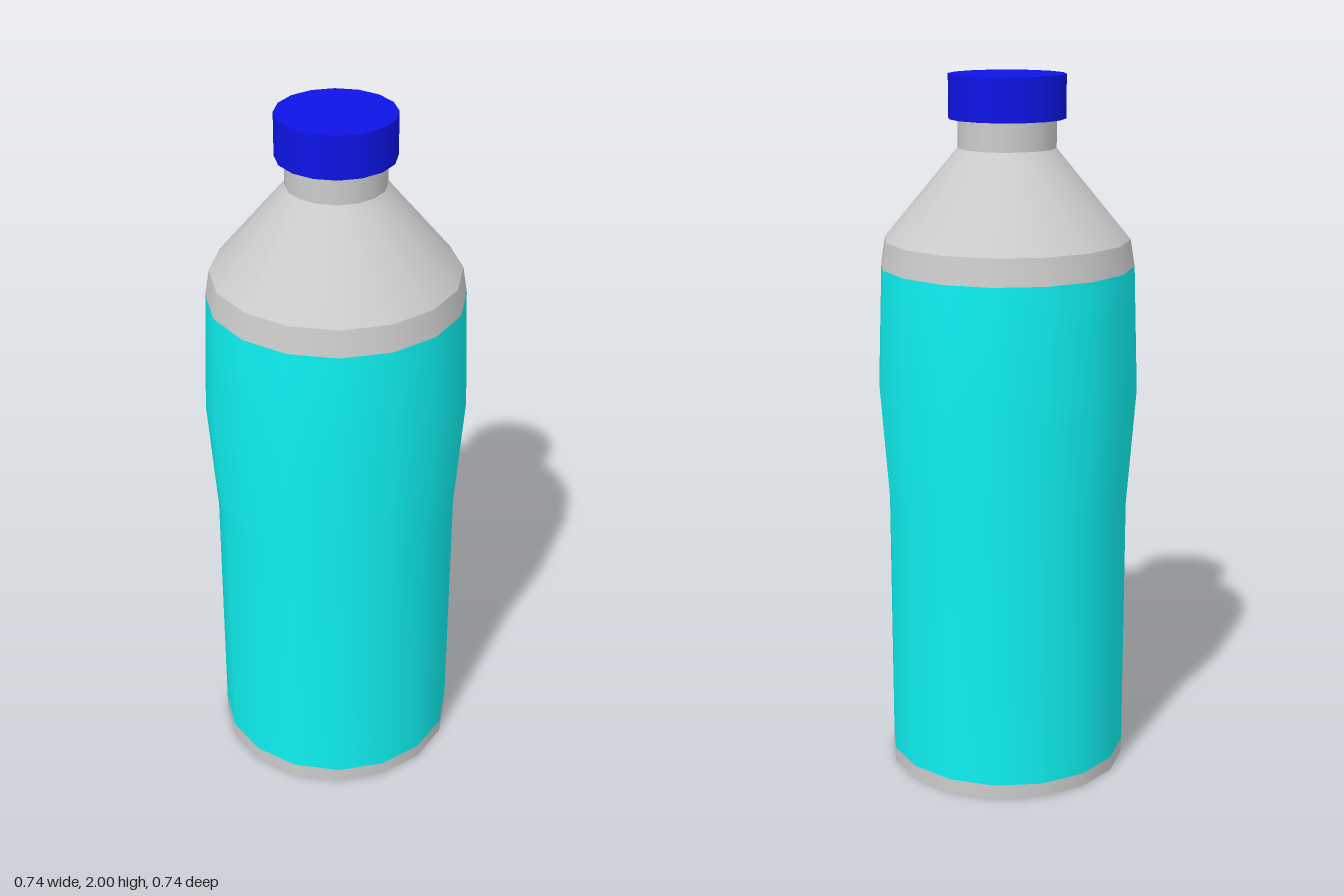
import * as THREE from 'three';
import { mergeGeometries } from 'three/addons/utils/BufferGeometryUtils.js';

const SIDES = 16;

// Each run of [radius, y] points is smooth; a new run starts a sharp edge.
function turned(name, color, ...runs) {
  const parts = runs.map((run) =>
    new THREE.LatheGeometry(run.map(([r, y]) => new THREE.Vector2(r, y)), SIDES));
  const material = new THREE.MeshStandardMaterial({ color });
  const mesh = new THREE.Mesh(mergeGeometries(parts), material);
  mesh.name = name;
  return mesh;
}

export function createModel() {
  const bottle = new THREE.Group();
  bottle.name = 'bottle';
  const grey = 0xcccccc;

  bottle.add(
    // flat bottom and the bare strip below the label
    turned('base', grey,
      [[0, 0], [0.345, 0]],
      [[0.345, 0], [0.345, 0.04]]),
    // coloured wrap, flush with the body and bulging above the middle
    turned('label', 0x0ff0f0,
      [[0.345, 0.04], [0.345, 0.78], [0.37, 1.12], [0.357, 1.475]]),
    // bare strip above the label, then the cone up to the neck
    turned('shoulder', grey,
      [[0.357, 1.475], [0.345, 1.55]],
      [[0.345, 1.55], [0.137, 1.8]]),
    turned('neck', grey, [[0.137, 1.8], [0.137, 1.88]]),
    // closed screw cap overhanging the neck
    turned('cap', 0x0d14e6,
      [[0, 1.88], [0.163, 1.88]],
      [[0.163, 1.88], [0.163, 2]],
      [[0.163, 2], [0, 2]]),
  );
  return bottle;
}
